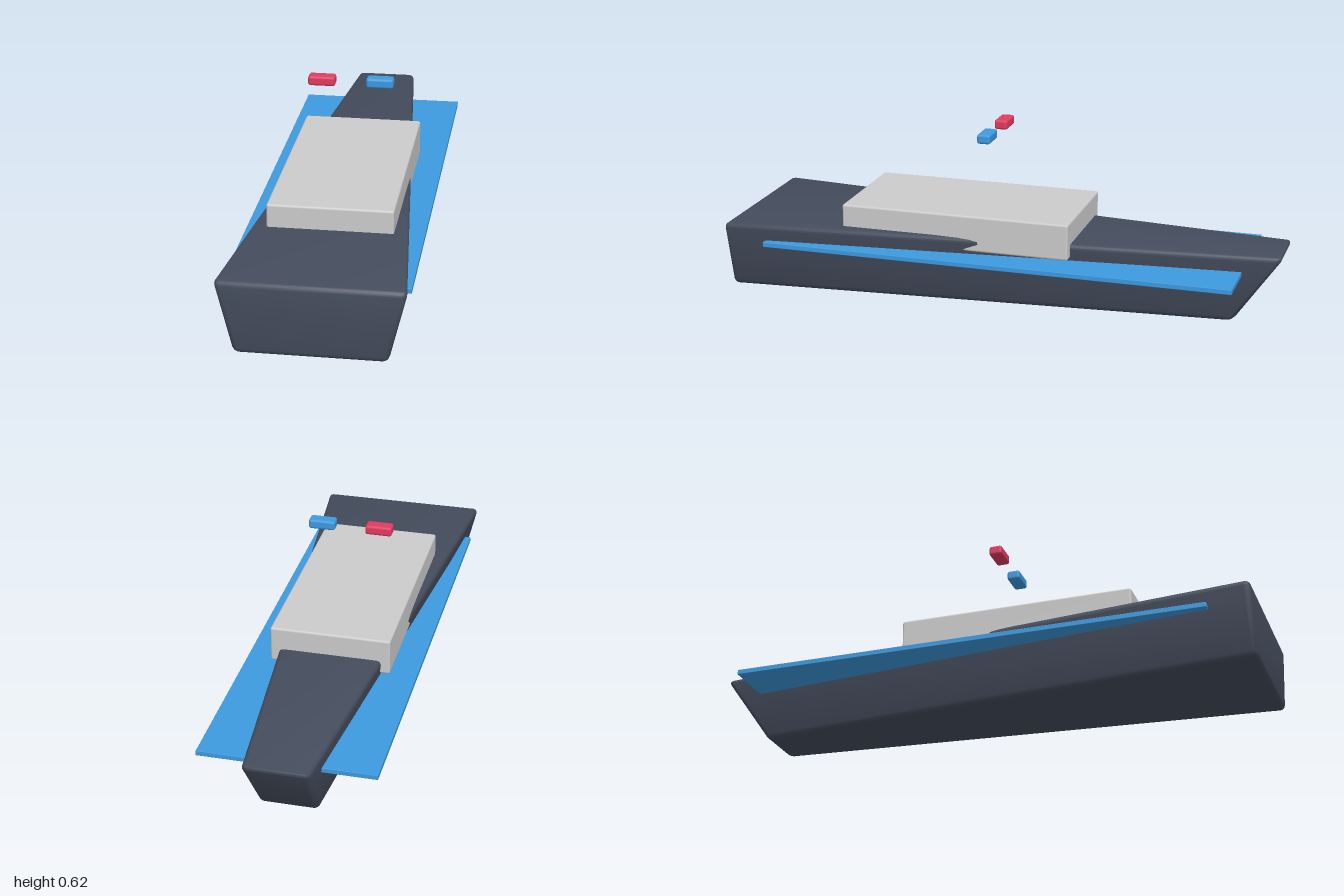
import * as THREE from 'three';
import { toCreasedNormals } from 'three/addons/utils/BufferGeometryUtils.js';
import { RoundedBoxGeometry } from 'three/addons/geometries/RoundedBoxGeometry.js';

const { lerp } = THREE.MathUtils;

// Box given by its lower and upper corners, with a small softened edge
function softBox(name, min, max, bevel, color) {
  const size = max.map((v, i) => v - min[i]);
  const geometry = new RoundedBoxGeometry(...size, 2, bevel);
  geometry.translate(...max.map((v, i) => (v + min[i]) / 2));
  const mesh = new THREE.Mesh(geometry, new THREE.MeshStandardMaterial({ color }));
  mesh.name = name;
  return mesh;
}

// Hull: a soft box narrowed toward the keel and the bow (-z), with a raked stem
function createHull() {
  const height = 0.253;
  const hull = softBox('hull', [-1, 0, -1], [1, height, 1], 0.02, 0x444c5c);
  const pos = hull.geometry.attributes.position;
  for (let i = 0; i < pos.count; i++) {
    const x = pos.getX(i), y = pos.getY(i), z = pos.getZ(i);
    const v = y / height;
    const u = (z + 1) / 2;
    const halfWidth = lerp(lerp(0.1, 0.25, u), lerp(0.113, 0.312, u), v);
    // keep the edge bevel the same width across the beam as elsewhere
    const inset = Math.min(1 - Math.abs(x), 0.02);
    pos.setXYZ(i, Math.sign(x) * (halfWidth - inset), y, z + (1 - v) * (1 - u) * 0.175);
  }
  hull.geometry = toCreasedNormals(hull.geometry, 0.6);
  return hull;
}

export function createModel() {
  const model = new THREE.Group();
  model.name = 'ship';
  const blue = 0x3d9ae0, red = 0xe03c60;

  model.add(createHull());
  model.add(softBox('cabin', [-0.215, 0.203, -0.263], [0.215, 0.334, 0.575], 0.008, 0xcccccc));
  // Flat band passing through the hull
  model.add(softBox('stripe', [-0.306, 0.175, -0.857], [0.306, 0.193, 0.85], 0.002, blue));

  // Floating signal lights
  for (const [name, side, color] of [['leftLight', 1, blue], ['rightLight', -1, red]]) {
    const x = side * 0.103;
    model.add(softBox(name, [x - 0.048, 0.581, 0.039], [x + 0.048, 0.616, 0.087], 0.009, color));
  }
  return model;
}
